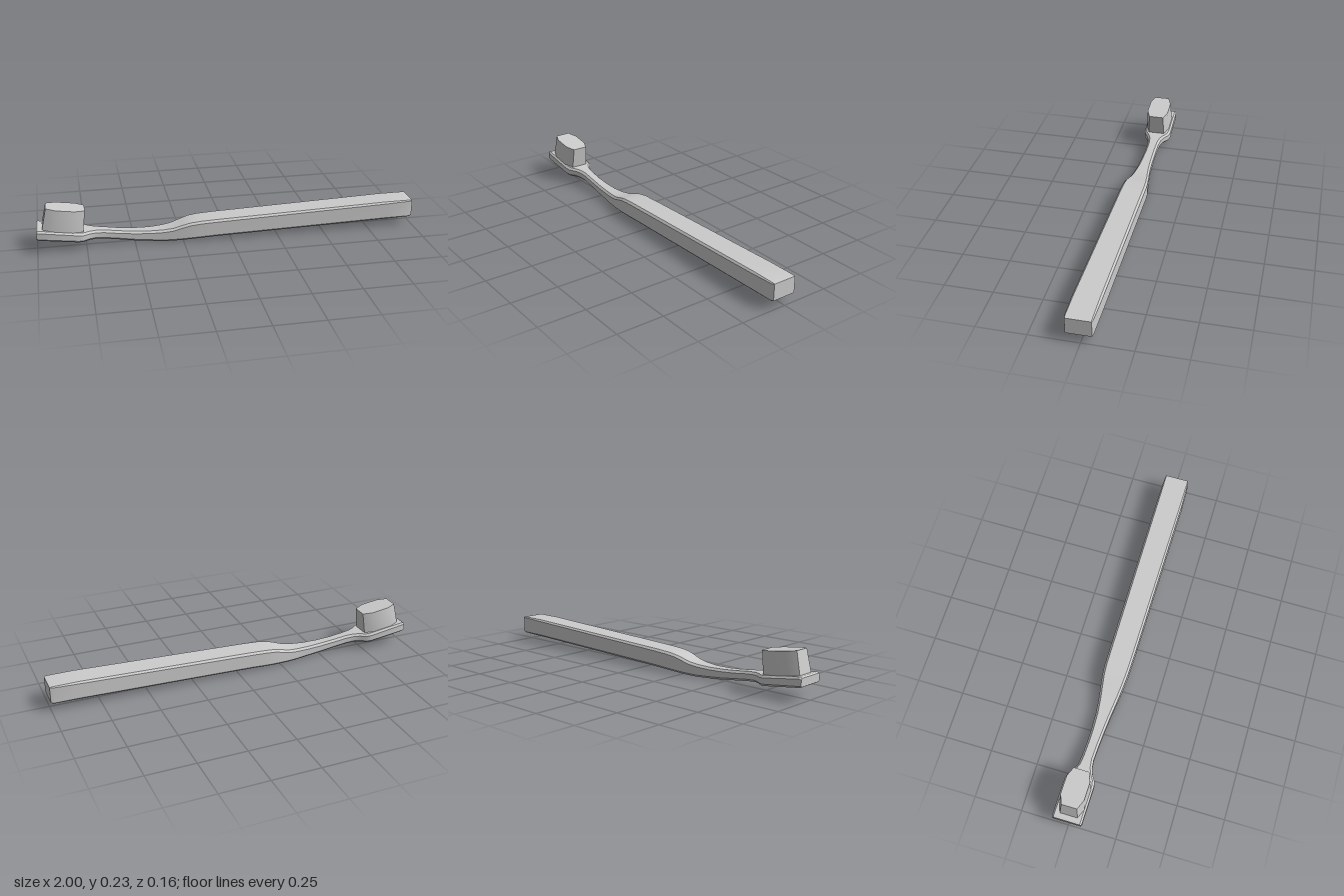
import * as THREE from 'three';
import { toCreasedNormals } from 'three/addons/utils/BufferGeometryUtils.js';

const material = new THREE.MeshStandardMaterial({ color: 0xcccccc });

// Joins equal-length rings of [x, y, z] points into a closed skin with end caps
function loft(rings, name) {
  const n = rings[0].length;
  const index = [];
  for (let r = 0; r < rings.length - 1; r++) {
    for (let i = 0; i < n; i++) {
      const a = r * n + i, b = r * n + (i + 1) % n;
      index.push(a, b, a + n, b, b + n, a + n);
    }
  }
  const last = (rings.length - 1) * n;
  for (let i = 1; i < n - 1; i++) {
    index.push(0, i + 1, i);
    index.push(last, last + i, last + i + 1);
  }
  const geometry = new THREE.BufferGeometry();
  geometry.setAttribute('position', new THREE.Float32BufferAttribute(rings.flat(2), 3));
  geometry.setIndex(index);
  const mesh = new THREE.Mesh(toCreasedNormals(geometry, 0.5), material);
  mesh.name = name;
  return mesh;
}

// Corners of a chamfered rectangle, as [u, v] pairs
function octagon(u0, u1, v0, v1, cu, cv = cu) {
  return [
    [u0 + cu, v1], [u1 - cu, v1], [u1, v1 - cv], [u1, v0 + cv],
    [u1 - cu, v0], [u0 + cu, v0], [u0, v0 + cv], [u0, v1 - cv],
  ];
}

// Stations along the body: x, bottom, top, back z, front z, chamfer
const stations = [
  [-1.0, 0.076, 0.118, -0.078, 0.071, 0.007],
  [-0.99, 0.071, 0.123, -0.081, 0.074, 0.009],
  [-0.79, 0.043, 0.095, -0.081, 0.074, 0.011],
  [-0.765, 0.041, 0.091, -0.074, 0.068, 0.011],
  [-0.735, 0.041, 0.089, -0.053, 0.049, 0.011],
  [-0.705, 0.039, 0.087, -0.040, 0.037, 0.011],
  [-0.66, 0.034, 0.083, -0.034, 0.031, 0.011],
  [-0.58, 0.023, 0.072, -0.031, 0.033, 0.011],
  [-0.5, 0.012, 0.065, -0.031, 0.038, 0.011],
  [-0.42, 0.005, 0.062, -0.034, 0.044, 0.011],
  [-0.35, 0.001, 0.065, -0.041, 0.052, 0.011],
  [-0.3, 0.002, 0.072, -0.048, 0.058, 0.011],
  [-0.25, 0.005, 0.088, -0.055, 0.064, 0.011],
  [-0.21, 0.008, 0.099, -0.060, 0.068, 0.011],
  [-0.16, 0.011, 0.105, -0.063, 0.071, 0.011],
  [-0.08, 0.015, 0.109, -0.063, 0.073, 0.011],
  [0.85, 0.040, 0.138, -0.061, 0.080, 0.009],
  [0.985, 0.043, 0.138, -0.058, 0.076, 0.005],
  [1.0, 0.049, 0.136, -0.055, 0.071, 0.002],
];

export function createModel() {
  const group = new THREE.Group();
  group.name = 'toothbrush';

  // Handle, bent neck and flat head in one skin
  const bodyRings = stations.map(([x, y0, y1, z0, z1, c]) =>
    octagon(z0, z1, y0, y1, c).map(([z, y]) => [x, y, z]));
  group.add(loft(bodyRings, 'handleAndHead'));

  // Tapered bristle block, its ends sloping with the head
  const bristleRing = (x0, x1, zBack, zFront, yRight, yLeft) =>
    octagon(x0, x1, zBack, zFront, 0.05, 0.02)
      .map(([x, z]) => [x, THREE.MathUtils.mapLinear(x, x0, x1, yRight, yLeft), z]);
  group.add(loft([
    bristleRing(-0.972, -0.765, -0.067, 0.065, 0.112, 0.085),
    bristleRing(-0.945, -0.75, -0.060, 0.060, 0.232, 0.205),
  ], 'bristles'));

  return group;
}
